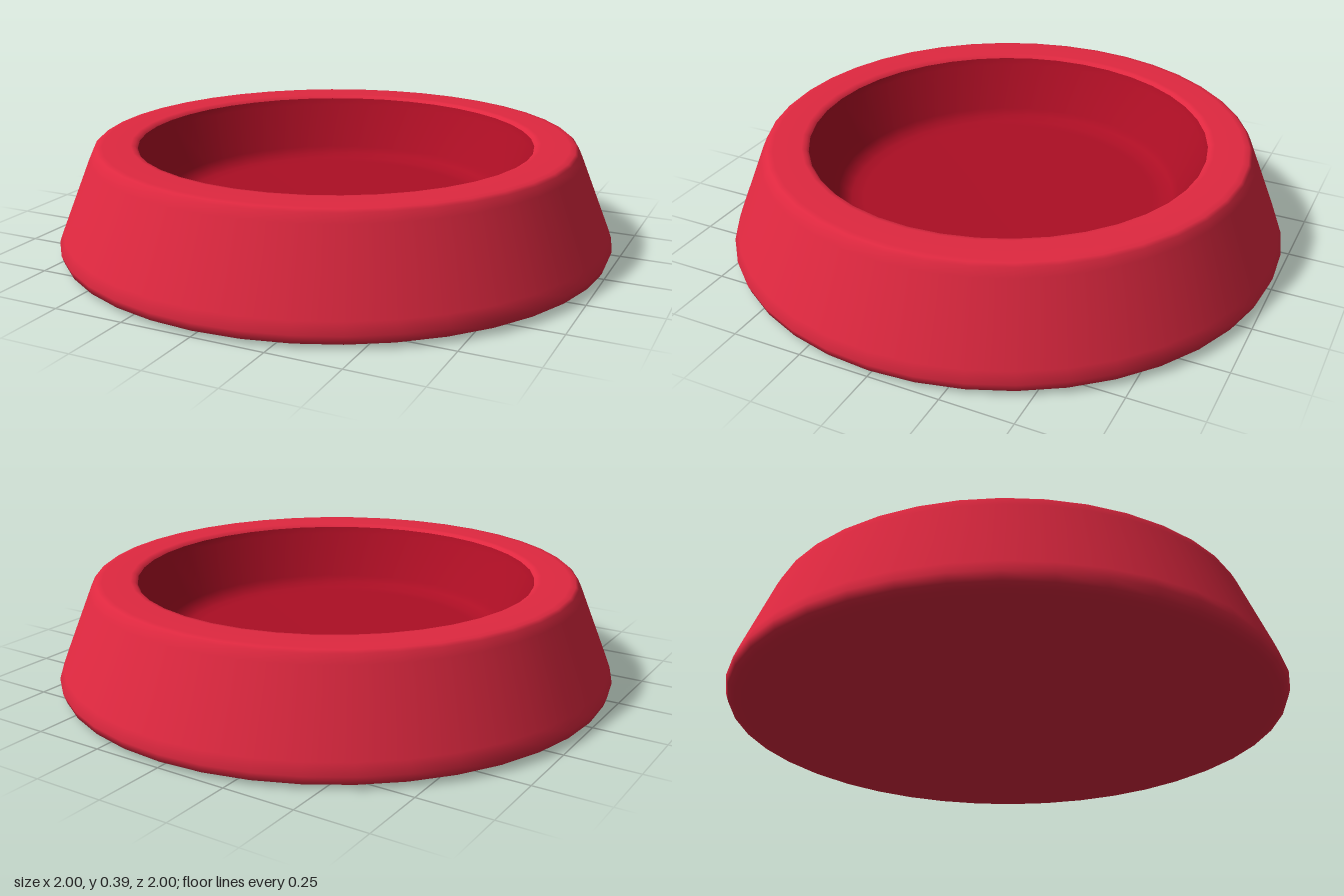
import * as THREE from 'three';

const SEGMENTS = 40;

// Revolve a profile of [radius, height] pairs around the vertical axis
function revolve(name, profile, material) {
  const points = profile.map(([r, y]) => new THREE.Vector2(r, y));
  const mesh = new THREE.Mesh(new THREE.LatheGeometry(points, SEGMENTS), material);
  mesh.name = name;
  return mesh;
}

export function createModel() {
  const outerRed = new THREE.MeshStandardMaterial({ color: 0xe02840 });
  outerRed.name = 'outer red';
  const innerRed = new THREE.MeshStandardMaterial({ color: 0xac0e24 });
  innerRed.name = 'inner dark red';

  const bowl = new THREE.Group();
  bowl.name = 'bowl';

  // Underside, rounded foot, sloping side and flat rim
  bowl.add(revolve('outerShell', [
    [0, 0], [0.93, 0], [0.965, 0.004], [0.99, 0.016], [1, 0.045],
    [0.985, 0.085], [0.88, 0.345], [0.866, 0.375], [0.855, 0.384], [0.835, 0.386],
    [0.735, 0.386], [0.72, 0.384], [0.711, 0.375],
  ], outerRed));

  // Tapered inner wall with a soft fillet into the floor
  bowl.add(revolve('innerBasin', [
    [0.711, 0.375], [0.702, 0.35], [0.62, 0.19], [0.602, 0.166],
    [0.575, 0.152], [0.53, 0.147], [0, 0.147],
  ], innerRed));

  return bowl;
}
